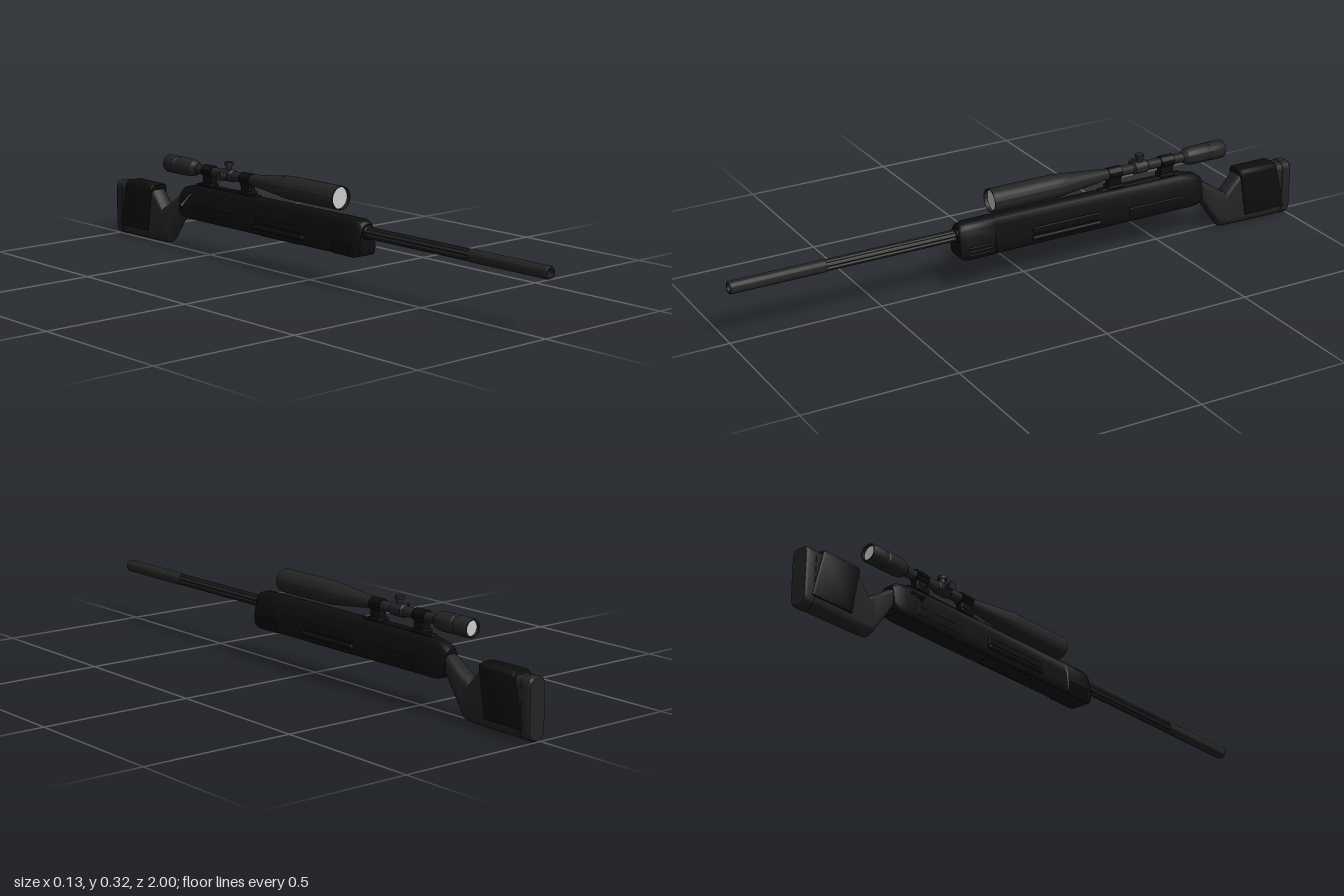
import * as THREE from 'three';
import { toCreasedNormals } from 'three/addons/utils/BufferGeometryUtils.js';
import { RoundedBoxGeometry } from 'three/addons/geometries/RoundedBoxGeometry.js';

const CX = 0.015, SCOPE_Y = 0.278, BARREL_Y = 0.188;
const black = new THREE.MeshStandardMaterial({ color: 0x0e0e0e });
const dark = new THREE.MeshStandardMaterial({ color: 0x242424 });
const glass = new THREE.MeshStandardMaterial({ color: 0xcccccc });

// Skin closed rings of [x, y, z], ordered front to back, each anticlockwise seen from +z
function loft(rings, crease = 0.6) {
  const n = rings[0].length, pos = [], idx = [];
  rings.forEach(r => r.forEach(p => pos.push(...p)));
  for (let k = 0; k < rings.length - 1; k++) {
    for (let i = 0; i < n; i++) {
      const j = (i + 1) % n, a = k * n, b = a + n;
      idx.push(a + i, b + i, a + j, a + j, b + i, b + j);
    }
  }
  [0, rings.length - 1].forEach((k, end) => {
    const c = pos.length / 3, mid = [0, 0, 0];
    rings[k].forEach(p => p.forEach((v, a) => { mid[a] += v / n; }));
    pos.push(...mid);
    for (let i = 0; i < n; i++) {
      const a = k * n + i, b = k * n + (i + 1) % n;
      idx.push(c, end ? b : a, end ? a : b);
    }
  });
  const g = new THREE.BufferGeometry();
  g.setAttribute('position', new THREE.Float32BufferAttribute(pos, 3));
  g.setIndex(idx);
  return toCreasedNormals(g, crease);
}

// Rounded rectangle ring; zAt gives depth from height so a ring may lean
function roundRing(hw, lo, hi, rBot, rTop, zAt, steps = 6) {
  const ring = [];
  [[1, -1], [1, 1], [-1, 1], [-1, -1]].forEach(([sx, sy], q) => {
    const r = Math.min(sy < 0 ? rBot : rTop, hw, (hi - lo) / 2);
    for (let s = 0; s <= steps; s++) {
      const a = (q - 1 + s / steps) * Math.PI / 2;
      const y = (sy < 0 ? lo + r : hi - r) + r * Math.sin(a);
      ring.push([CX + sx * (hw - r) + r * Math.cos(a), y, zAt(y)]);
    }
  });
  return ring;
}

// Turned part along z from [radius, z] points, rising in z
function turned(points, seg = 32) {
  const g = new THREE.LatheGeometry(points.map(p => new THREE.Vector2(...p)), seg);
  return toCreasedNormals(g.rotateX(Math.PI / 2), 0.45);
}

export function createModel() {
  const model = new THREE.Group();
  const add = (name, geo, mat, x = 0, y = 0, z = 0, parent = model) => {
    const m = new THREE.Mesh(geo, mat);
    m.name = name;
    m.position.set(x, y, z);
    parent.add(m);
    return m;
  };
  const box = (name, w, h, d, x, y, z, mat = black, r = 0.003) =>
    add(name, new RoundedBoxGeometry(w, h, d, 2, r), mat, x, y, z);

  // Chassis: half-width and height profile, narrowing to a rounded top
  const half = [[0.034, 0], [0.04, 0.06], [0.042, 0.14], [0.041, 0.33], [0.036, 0.62],
    [0.031, 0.82], [0.025, 0.93], [0.017, 0.985], [0.009, 1]];
  const outline = [...half, ...half.slice().reverse().map(([x, y]) => [-x, y])];
  const chassisRing = ([z, s, lo, hi]) =>
    outline.map(([x, y]) => [CX + x * s, lo + y * (hi - lo), z]);
  add('chassis', loft([
    [0.25, 0.78, 0.125, 0.213], [0.243, 0.9, 0.115, 0.222], [0.225, 1, 0.11, 0.227],
    [0.13, 1, 0.11, 0.228], [0.126, 0.92, 0.111, 0.228], [-0.57, 0.9, 0.111, 0.226],
    [-0.6, 0.9, 0.111, 0.22], [-0.63, 0.86, 0.114, 0.213], [-0.648, 0.7, 0.13, 0.2]
  ].map(chassisRing)), black);

  // Side panels, flange and grip ribs
  box('sideFlange', 0.098, 0.014, 0.25, CX, 0.137, -0.125, black, 0.005);
  box('magazine', 0.05, 0.012, 0.2, CX, 0.113, -0.13);
  for (const s of [-1, 1]) {
    box('sidePanel', 0.012, 0.022, 0.24, CX + s * 0.034, 0.16, -0.125);
    box('rearPanel', 0.01, 0.03, 0.2, CX + s * 0.034, 0.145, -0.46);
    for (let i = 0; i < 3; i++) {
      box('foreRib', 0.006, 0.006, 0.09, CX + s * 0.04, 0.127 + i * 0.012, 0.18);
    }
  }

  // Barrel: fluted rear length and a plain hollow muzzle length
  const flutedRing = z => Array.from({ length: 48 }, (_, i) => {
    const a = i / 48 * Math.PI * 2;
    const r = 0.0188 - 0.004 * Math.max(0, Math.cos(a * 6));
    return [CX + r * Math.cos(a), BARREL_Y + r * Math.sin(a), z];
  });
  add('flutedBarrel', loft([flutedRing(0.7), flutedRing(0.23)], 0.5), dark);
  add('muzzle', turned([[0, 0.69], [0.019, 0.69], [0.02, 0.695], [0.02, 0.996],
    [0.018, 1], [0.013, 1], [0.013, 0.93], [0, 0.93]]), dark, CX, BARREL_Y);
  add('barrelCollar', turned([[0.023, 0.24], [0.023, 0.255], [0.018, 0.258]]), black, CX, BARREL_Y);

  // Stock: neck, grip drop and butt, as upright slices
  add('stock', loft([
    [-0.635, 0.024, 0.135, 0.192], [-0.655, 0.025, 0.106, 0.184], [-0.72, 0.027, 0.015, 0.14],
    [-0.728, 0.028, 0.005, 0.135], [-0.746, 0.028, 0.003, 0.124], [-0.794, 0.03, 0.002, 0.178],
    [-0.82, 0.031, 0.002, 0.184], [-0.965, 0.031, 0.001, 0.186]
  ].map(([z, w, lo, hi]) => roundRing(w, lo, hi, 0.03, 0.018, () => z))), dark);
  add('buttPad', loft([
    [-0.963, 0.029], [-0.967, 0.032], [-0.993, 0.032], [-1, 0.028]
  ].map(([z, w]) => roundRing(w, 0.032 - w, 0.156 + w, 0.03, 0.02, () => z))), dark);

  // Cheek pad wrapped over the stock, with leaning ends
  const lean = (z, d) => y => z - d * (0.197 - y) / 0.16;
  add('cheekPad', loft([
    [0.033, lean(-0.793, 0.026)], [0.036, lean(-0.799, 0.026)],
    [0.036, lean(-0.93, 0.04)], [0.033, lean(-0.936, 0.04)]
  ].map(([w, zAt]) => roundRing(w, 0.035, 0.161 + w, 0.004, 0.018, zAt))), black);

  // Bolt handle on the right
  const bolt = new THREE.Group();
  bolt.name = 'boltHandle';
  model.add(bolt);
  const v = (x, y) => new THREE.Vector3(x, y, -0.578);
  const stem = new THREE.CatmullRomCurve3([v(-0.005, 0.195), v(-0.024, 0.192), v(-0.04, 0.178), v(-0.05, 0.17)]);
  add('boltStem', new THREE.TubeGeometry(stem, 16, 0.004, 10), black, 0, 0, 0, bolt);
  const knob = add('boltKnob', new THREE.CylinderGeometry(0.005, 0.0085, 0.022, 16), black, -0.053, 0.167, -0.578, bolt);
  knob.rotation.z = -0.85;

  // Scope
  const scope = new THREE.Group();
  scope.name = 'scope';
  scope.position.set(CX, SCOPE_Y, 0);
  model.add(scope);
  add('scopeBody', turned([[0.024, -0.722], [0.024, -0.735], [0.028, -0.735], [0.03, -0.73],
    [0.03, -0.68], [0.028, -0.677], [0.028, -0.67], [0.03, -0.667], [0.03, -0.615], [0.026, -0.593],
    [0.016, -0.58], [0.016, -0.31], [0.019, -0.285], [0.033, -0.15], [0.0365, -0.125], [0.038, -0.1],
    [0.038, 0.13], [0.035, 0.13], [0.035, 0.115]], 40), dark, 0, 0, 0, scope);
  add('frontLens', new THREE.CircleGeometry(0.0355, 40), glass, 0, 0, 0.118, scope);
  add('rearLens', new THREE.CircleGeometry(0.0245, 32), glass, 0, 0, -0.725, scope).rotation.y = Math.PI;

  // Adjustment turrets: top and right, on a round saddle
  add('turretSaddle', turned([[0.016, -0.445], [0.021, -0.44], [0.021, -0.395], [0.016, -0.39]]), dark, 0, 0, 0, scope);
  for (const angle of [0, Math.PI / 2]) {
    const turret = new THREE.Group();
    turret.name = 'turret';
    turret.position.z = -0.417;
    turret.rotation.z = angle;
    scope.add(turret);
    add('turretNeck', new THREE.CylinderGeometry(0.01, 0.01, 0.02, 20), dark, 0, 0.024, 0, turret);
    add('turretCap', new THREE.CylinderGeometry(0.0145, 0.0145, 0.011, 24), dark, 0, 0.038, 0, turret);
  }

  // Scope mounts: foot, post and ring, joined by a low rail
  box('rail', 0.026, 0.01, 0.31, CX, 0.226, -0.42);
  for (const z of [-0.32, -0.517]) {
    box('mountFoot', 0.04, 0.013, 0.052, CX, 0.234, z);
    box('mountPost', 0.026, 0.03, 0.046, CX, 0.249, z);
    add('mountRing', turned([[0.016, -0.024], [0.0205, -0.024], [0.0205, 0.024], [0.016, 0.024]]), black, CX, SCOPE_Y, z);
    for (const s of [-1, 1]) box('mountClamp', 0.007, 0.008, 0.044, CX + s * 0.021, SCOPE_Y, z, black, 0.002);
  }
  return model;
}
